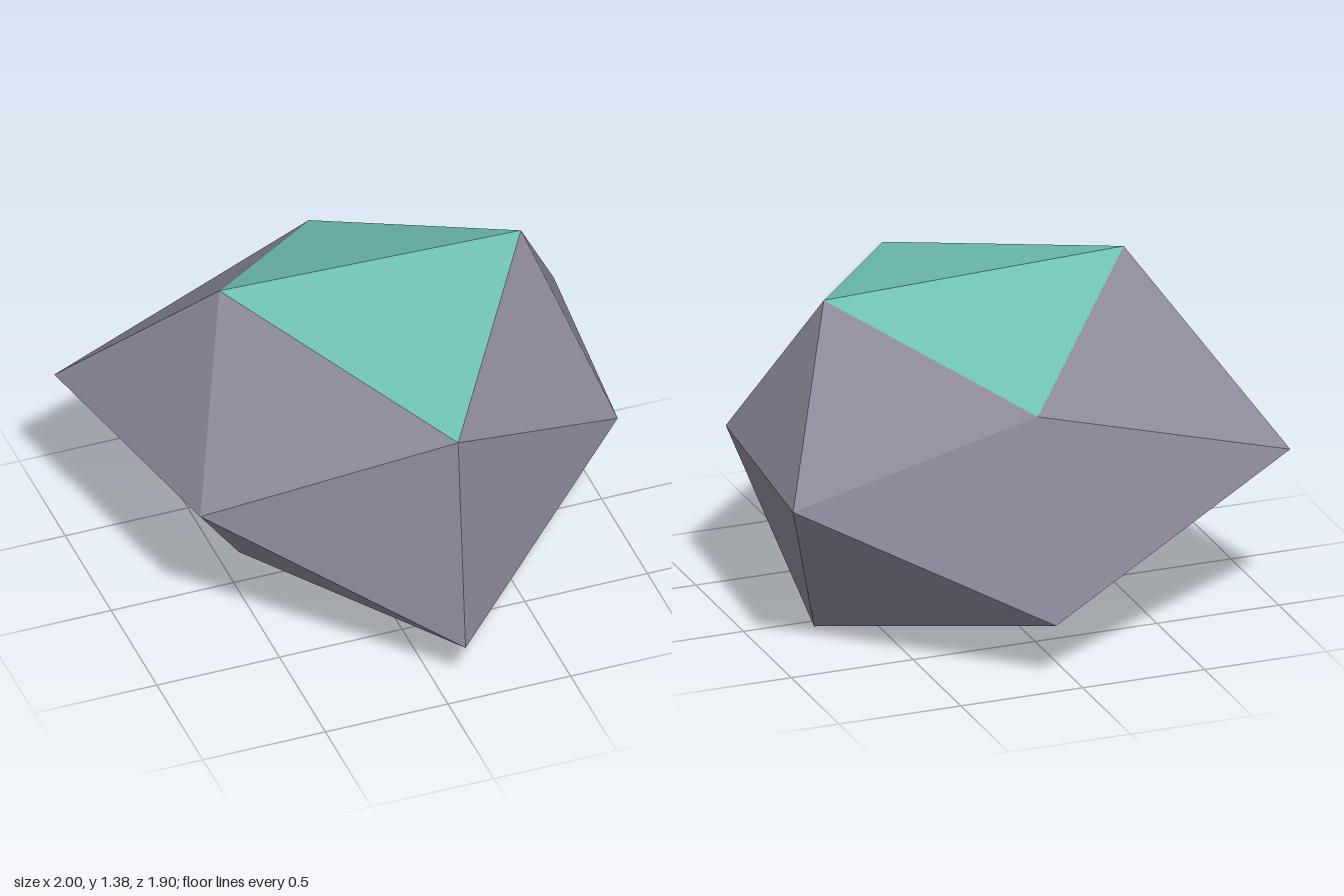
import * as THREE from 'three';

// Corners of an uneven icosahedron, in pairs along each axis
const corners = [
  [-0.54, 1.38, -0.05], [0.69, 1.34, -0.05], // 0, 1 top ridge
  [-0.46, 0.1, -0.05], [0.73, 0, -0.05], // 2, 3 bottom ridge
  [0.09, 0.21, 0.95], [0.09, 1.14, 0.87], // 4, 5 front edge
  [0.09, 0.25, -0.95], [0.09, 1.04, -0.76], // 6, 7 back edge
  [1.0, 0.69, -0.52], [0.92, 0.69, 0.39], // 8, 9 left edge
  [-1.0, 0.69, -0.62], [-0.79, 0.69, 0.41], // 10, 11 right edge
];

const topFacets = [[0, 5, 1], [0, 1, 7]];
const bodyFacets = [
  [0, 11, 5], [0, 7, 10], [0, 10, 11], // around the top ridge
  [1, 5, 9], [5, 11, 4], [11, 10, 2], [10, 7, 6], [7, 1, 8], // sides
  [4, 9, 5], [2, 4, 11], [6, 2, 10], [8, 6, 7], [9, 8, 1],
  [3, 9, 4], [3, 4, 2], [3, 2, 6], [3, 6, 8], [3, 8, 9], // underside
];

// One flat-shaded mesh from a list of triangular facets
function facetMesh(name, facets, color) {
  const points = facets.flat().map((i) => new THREE.Vector3(...corners[i]));
  const geometry = new THREE.BufferGeometry().setFromPoints(points);
  geometry.computeVertexNormals();
  const material = new THREE.MeshStandardMaterial({ color, flatShading: true });
  const mesh = new THREE.Mesh(geometry, material);
  mesh.name = name;
  return mesh;
}

export function createModel() {
  const rock = new THREE.Group();
  rock.name = 'rock';
  rock.add(facetMesh('stoneBody', bodyFacets, 0x8e8a9c));
  rock.add(facetMesh('topFacets', topFacets, 0x6fbfb5));
  return rock;
}
